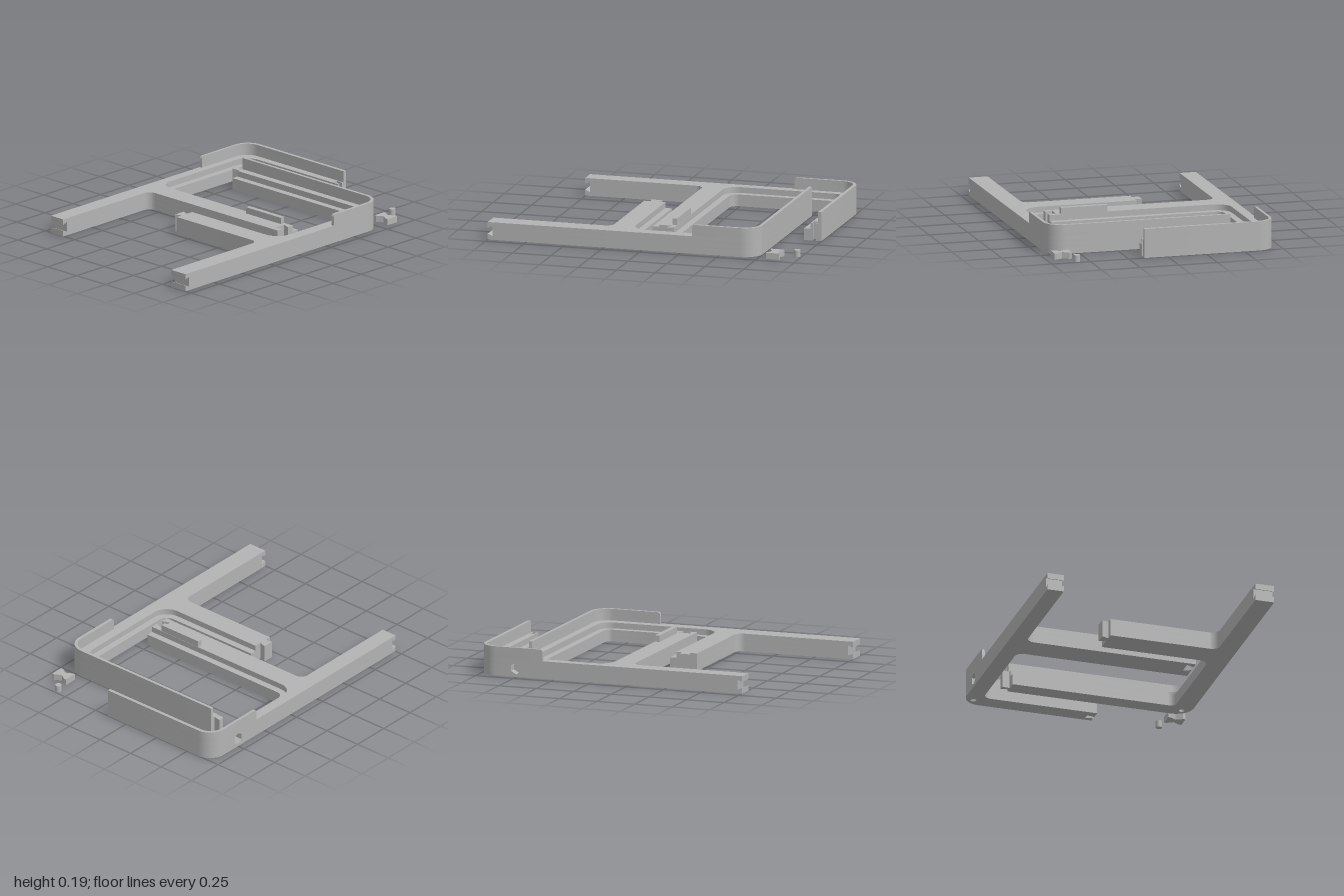
import * as THREE from 'three';
import { toCreasedNormals } from 'three/addons/utils/BufferGeometryUtils.js';

const H = 0.112, LEDGE = 0.075, WALL = 0.185, STEP = 0.043, HOLE = 0.04;
const grey = new THREE.MeshStandardMaterial({ color: 0xb3b3b3 });
grey.name = 'grey plastic';

// Outline from [x, y, cornerRadius] points
function outline(points) {
  const shape = new THREE.Shape();
  const n = points.length;
  points.forEach(([x, y, r = 0], k) => {
    const p = new THREE.Vector2(x, y);
    const toward = (q, d) => new THREE.Vector2(q[0], q[1]).sub(p).normalize().multiplyScalar(d).add(p);
    const prev = points[(k + n - 1) % n], next = points[(k + 1) % n];
    const a = r ? toward(prev, r) : p;
    if (k === 0) shape.moveTo(a.x, a.y); else shape.lineTo(a.x, a.y);
    if (r) {
      const b = toward(next, r), c = toward(prev, r * 0.448), d = toward(next, r * 0.448);
      shape.bezierCurveTo(c.x, c.y, d.x, d.y, b.x, b.y);
    }
  });
  return shape;
}

function add(group, name, geometry) {
  const mesh = new THREE.Mesh(geometry, grey);
  mesh.name = name;
  group.add(mesh);
  return mesh;
}

function extrude(shape, depth) {
  const g = new THREE.ExtrudeGeometry(shape, { depth, bevelEnabled: false, curveSegments: 10 });
  return toCreasedNormals(g, 0.5);
}

// Plan drawn in x/z, raised from y0 to y1
function slab(group, name, shape, y0, y1) {
  add(group, name, extrude(shape, y1 - y0).rotateX(Math.PI / 2).translate(0, y1, 0));
}

// Side profile drawn in x/y, running from z0 to z1
function across(group, name, shape, z0, z1) {
  add(group, name, extrude(shape, z1 - z0).translate(0, 0, z0));
}

function withHole(shape, x, y, r) {
  shape.holes.push(new THREE.Path().absarc(x, y, r, 0, Math.PI * 2, true));
  return shape;
}

// Frame half in layers: base with a foot hole, middle, and top set back to form the ledge
function frameHalf(name, plan, hole, wall) {
  const group = new THREE.Group();
  group.name = name;
  slab(group, 'base', withHole(outline(plan(0)), ...hole, 0.018), 0, HOLE);
  slab(group, 'ledge', outline(plan(0)), HOLE, LEDGE);
  slab(group, 'upperBeam', outline(plan(STEP)), LEDGE, H);
  slab(group, 'outerWall', outline(wall), H, WALL);
  return group;
}

// Beam end with a dovetail groove
function grooveEnd(group, x, z0, z1) {
  across(group, 'groovedBeamEnd', outline([
    [x, 0], [x + 0.04, 0], [x + 0.04, H], [x, H],
    [x, 0.075], [x + 0.032, 0.088], [x + 0.032, 0.024], [x, 0.037],
  ]), z0, z1);
}

// Rounded start of the raised wall
function wallTip(group, x, z0, z1) {
  across(group, 'wallTip', outline([
    [x, H], [x + 0.02, H], [x + 0.02, WALL], [x, WALL, 0.018],
  ]), z0, z1);
}

const frontPlan = (i) => [
  [-0.96, 0.577], [-0.23, 0.577, 0.05], [-0.23, -0.12],
  [-0.185, -0.12], [-0.2, -0.165], [-0.125, -0.165], [-0.14, -0.12],
  [-0.05 - i, -0.12], [-0.05 - i, 0.577 + i, 0.06 + i],
  [0.64 + i, 0.577 + i, 0.04 + i], [0.64 + i, -0.48],
  [0.7, -0.48], [0.693, -0.53], [0.728, -0.53], [0.72, -0.48],
  [0.75, -0.48], [0.75, 0.7, 0.115], [-0.96, 0.7],
];

const backPlan = (i) => [
  [-0.715, -0.594], [0.015, -0.594, 0.05], [0.015, 0.515],
  [0.06, 0.515], [0.04, 0.465], [0.125, 0.465], [0.105, 0.515],
  [0.195 - i, 0.515], [0.195 - i, -0.594 - i, 0.05 + i],
  [0.887 + i, -0.594 - i, 0.05 + i], [0.887 + i, 0.15],
  [0.945, 0.15], [0.935, 0.1], [0.975, 0.1], [0.965, 0.15],
  [1, 0.15], [1, -0.7, 0.11],
  [0.8, -0.7], [0.8, -0.65], [0.7, -0.65], [0.7, -0.7], [-0.715, -0.7],
];

export function createModel() {
  const model = new THREE.Group();
  model.name = 'interlockingFrame';

  const front = frameHalf('frontHalf', frontPlan, [0.69, 0.64], [
    [0.345, 0.7], [0.345, 0.68], [0.73, 0.68, 0.095],
    [0.73, -0.48], [0.75, -0.48], [0.75, 0.7, 0.115],
  ]);
  grooveEnd(front, -1, 0.577, 0.7);
  wallTip(front, 0.325, 0.68, 0.7);

  const back = frameHalf('backHalf', backPlan, [0.94, -0.64], [
    [0.595, -0.7], [0.595, -0.683], [0.978, -0.683, 0.09],
    [0.978, 0.15], [1, 0.15], [1, -0.7, 0.11],
  ]);
  grooveEnd(back, -0.755, -0.7, -0.594);
  wallTip(back, 0.575, -0.7, -0.683);

  // Six-sided pocket in the back face
  const pocket = outline([[0.7, 0], [0.8, 0], [0.8, H], [0.7, H]]);
  const hex = [];
  for (let k = 0; k < 6; k++) {
    const a = k * Math.PI / 3 + Math.PI / 6;
    hex.push(new THREE.Vector2(0.75 + 0.038 * Math.cos(a), 0.055 + 0.038 * Math.sin(a)));
  }
  pocket.holes.push(new THREE.Path(hex));
  across(back, 'hexPocket', pocket, -0.7, -0.65);

  // Raised strip on the crossbar
  add(back, 'raisedStrip', new THREE.BoxGeometry(0.03, 0.042, 0.3)).position.set(0.135, H + 0.02, 0.29);

  // Loose bow-tie key and foot pin
  const loose = new THREE.Group();
  loose.name = 'looseParts';
  slab(loose, 'bowTieKey', outline([
    [0.805, 0.588], [0.89, 0.588], [0.89, 0.602], [0.866, 0.643],
    [0.89, 0.685], [0.89, 0.7], [0.805, 0.7], [0.805, 0.685], [0.829, 0.643], [0.805, 0.602],
  ]), 0, 0.04);
  add(loose, 'footPin', new THREE.CylinderGeometry(0.02, 0.02, 0.043, 24)).position.set(0.972, 0.0215, 0.58);

  model.add(front, back, loose);
  return model;
}
